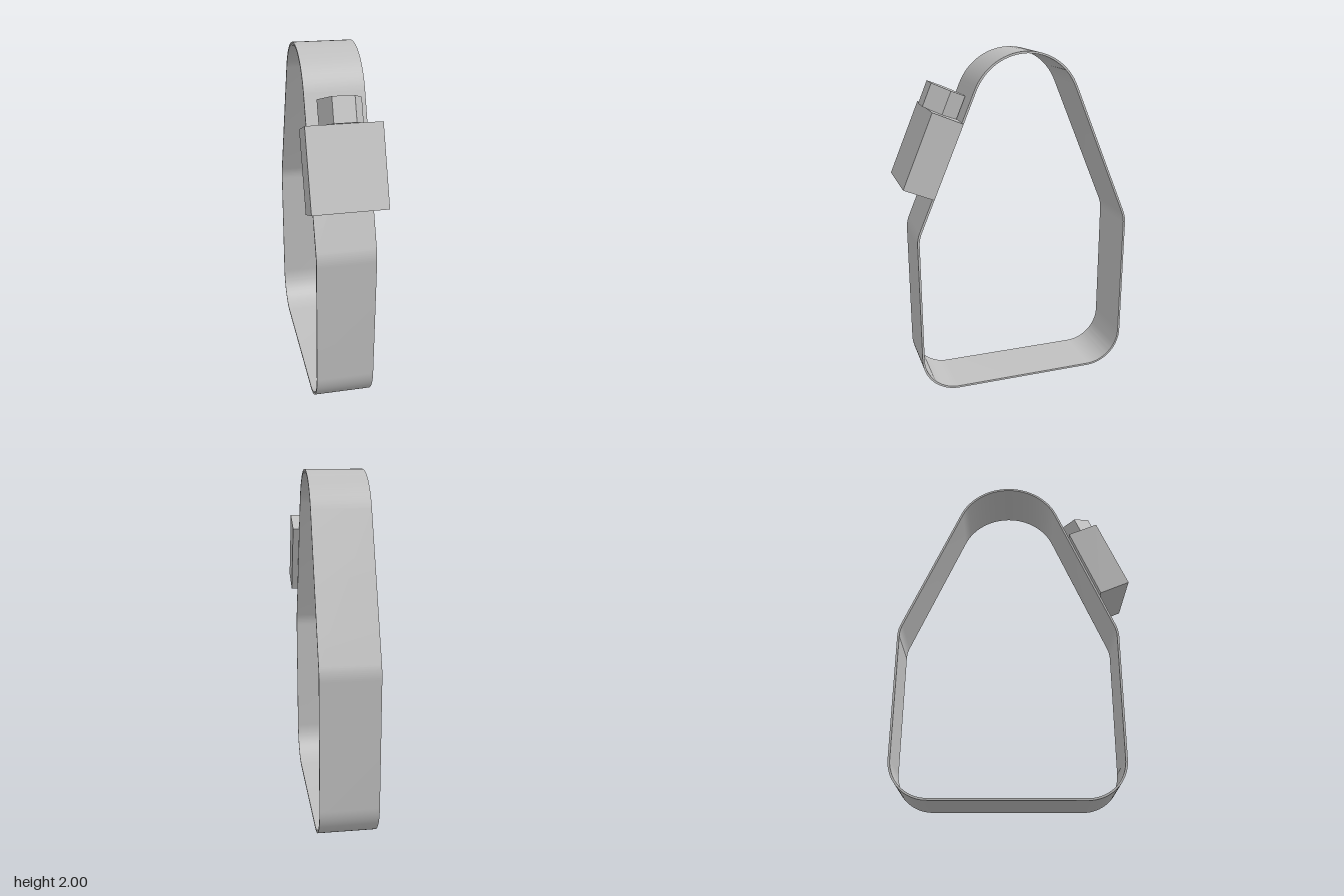
import * as THREE from 'three';
import { toCreasedNormals } from 'three/addons/utils/BufferGeometryUtils.js';

const TILT = THREE.MathUtils.degToRad(23); // lean of the upper straights
const HALF = 0.645, SHOULDER_Y = 0.99, CORNER_R = 0.22, SHOULDER_R = 0.2;
const BAND_WIDTH = 0.33, BAND_THICKNESS = 0.012, BAND_Z = -0.033;

// Band outline moved inwards by inset; tangent arcs joined by straight runs
function traceOutline(path, inset) {
  const s = Math.sin(TILT), c = Math.cos(TILT);
  const topR = (c * HALF + s * SHOULDER_Y - 2 * s) / (1 - s);
  const shoulderY = SHOULDER_Y - SHOULDER_R * Math.tan(TILT / 2);
  const cornerX = HALF - CORNER_R, shoulderX = HALF - SHOULDER_R;
  const r = CORNER_R - inset, sr = SHOULDER_R - inset;
  path.absarc(cornerX, CORNER_R, r, -Math.PI / 2, 0, false);
  path.absarc(shoulderX, shoulderY, sr, 0, TILT, false);
  path.absarc(0, 2 - topR, topR - inset, TILT, Math.PI - TILT, false);
  path.absarc(-shoulderX, shoulderY, sr, Math.PI - TILT, Math.PI, false);
  path.absarc(-cornerX, CORNER_R, r, Math.PI, Math.PI * 1.5, false);
  path.closePath();
  return path;
}

export function createModel() {
  const model = new THREE.Group();
  model.name = 'bandClamp';
  const steel = new THREE.MeshStandardMaterial({ color: 0xc0c0c0 });
  steel.name = 'light grey steel';

  const add = (parent, name, geometry) => {
    const mesh = new THREE.Mesh(geometry, steel);
    mesh.name = name;
    parent.add(mesh);
    return mesh;
  };

  // Closed strap
  const shape = traceOutline(new THREE.Shape(), 0);
  shape.holes.push(traceOutline(new THREE.Path(), BAND_THICKNESS));
  const strap = new THREE.ExtrudeGeometry(shape, { depth: BAND_WIDTH, bevelEnabled: false, curveSegments: 16 });
  strap.translate(0, 0, -BAND_WIDTH / 2);
  strap.rotateY(-Math.PI / 2);
  strap.translate(0, 0, BAND_Z);
  add(model, 'band', toCreasedNormals(strap, 0.6));

  // Tightening block and hex head, lying along the front slope
  const buckle = new THREE.Group();
  buckle.name = 'buckle';
  buckle.position.set(0, 1.46, 0.512);
  buckle.rotation.x = -TILT;
  model.add(buckle);

  const blockLength = 0.446, headHeight = 0.137;
  add(buckle, 'housing', new THREE.BoxGeometry(0.405, blockLength, 0.184));
  const hex = new THREE.CylinderGeometry(0.118, 0.118, headHeight, 6, 1, false, Math.PI / 6);
  const head = add(buckle, 'screwHead', toCreasedNormals(hex, 0.5));
  head.position.set(0, (blockLength + headHeight) / 2, 0.015);

  return model;
}
